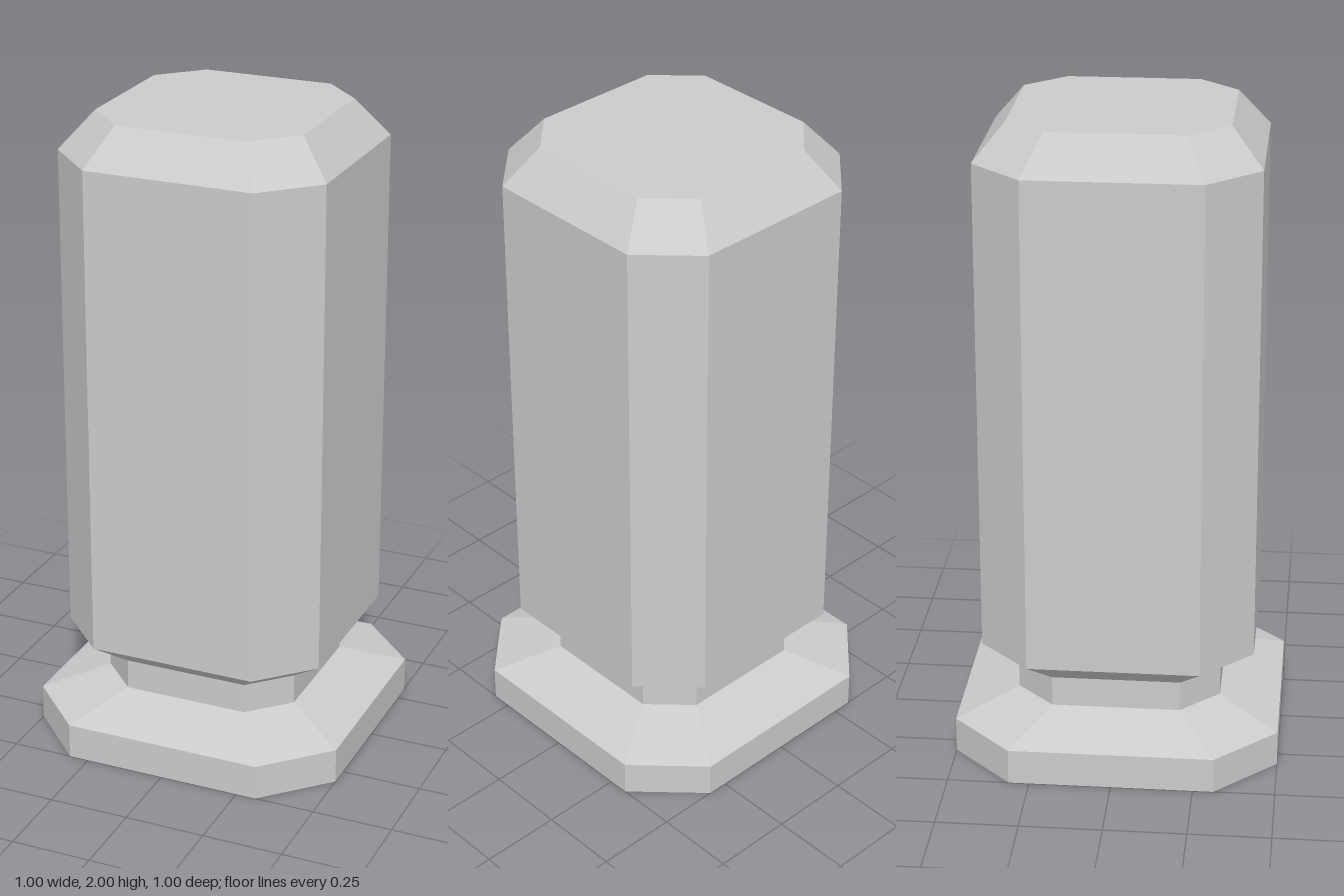
import * as THREE from 'three';

const CORNER = 0.625; // where each corner cut starts, as a share of the half width

// Square with cut corners, counterclockwise from above
function ring(half, y) {
  const points = [];
  for (let side = 0; side < 4; side++) {
    const a = side * Math.PI / 2;
    for (const s of [-CORNER, CORNER]) {
      points.push([
        half * (Math.sin(a) + s * Math.cos(a)),
        y,
        half * (Math.cos(a) - s * Math.sin(a)),
      ]);
    }
  }
  return points;
}

// Skin a stack of [half width, height] sections, with optional end caps
function loft(name, profile, material, { bottom = false, top = false } = {}) {
  const rings = profile.map(([half, y]) => ring(half, y));
  const positions = [];
  const tri = (...corners) => corners.forEach((c) => positions.push(...c));
  const last = rings.length - 1;

  for (let i = 0; i < 8; i++) {
    const j = (i + 1) % 8;
    for (let k = 0; k < last; k++) {
      const lo = rings[k], hi = rings[k + 1];
      tri(lo[i], lo[j], hi[j]);
      tri(lo[i], hi[j], hi[i]);
    }
    if (bottom) tri([0, profile[0][1], 0], rings[0][j], rings[0][i]);
    if (top) tri([0, profile[last][1], 0], rings[last][i], rings[last][j]);
  }

  const geometry = new THREE.BufferGeometry();
  geometry.setAttribute('position', new THREE.Float32BufferAttribute(positions, 3));
  geometry.computeVertexNormals();
  const mesh = new THREE.Mesh(geometry, material);
  mesh.name = name;
  return mesh;
}

export function createModel() {
  const group = new THREE.Group();
  group.name = 'bollard';
  const grey = new THREE.MeshStandardMaterial({ color: 0xcccccc, flatShading: true });

  group.add(
    // Wide foot with a sloped upper face
    loft('base', [[0.5, 0], [0.5, 0.11], [0.315, 0.175]], grey, { bottom: true }),
    // Narrow straight neck
    loft('neck', [[0.315, 0.175], [0.315, 0.27]], grey),
    // Flared underside, tall shaft and bevelled top
    loft('post', [[0.315, 0.27], [0.42, 0.35], [0.42, 1.885], [0.325, 2]], grey, { top: true }),
  );
  return group;
}
